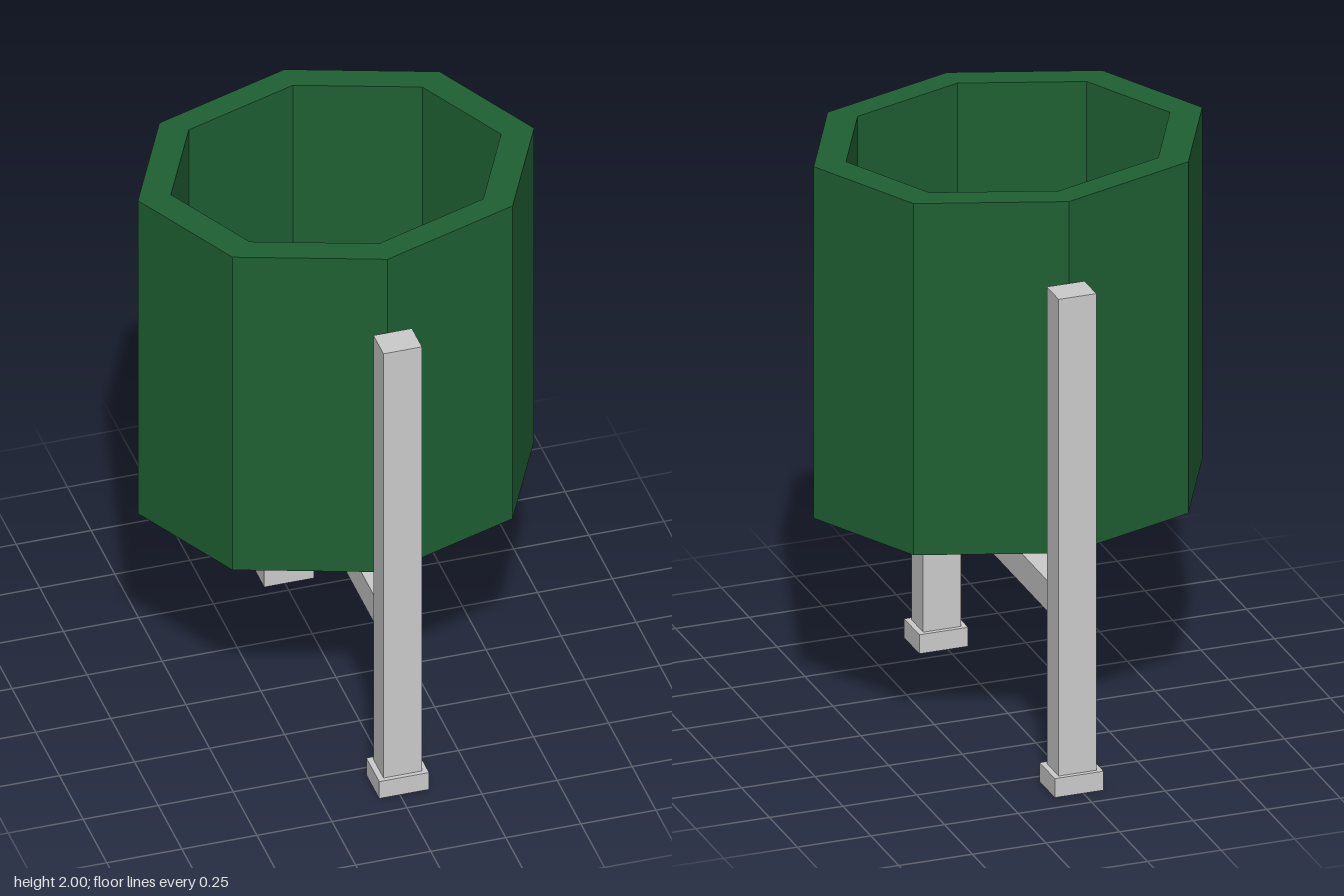
import * as THREE from 'three';

export function createModel() {
  const model = new THREE.Group();
  const green = new THREE.MeshStandardMaterial({ color: 0x1f6033, flatShading: true });
  const grey = new THREE.MeshStandardMaterial({ color: 0xcccccc, flatShading: true });

  // Eight-sided hollow pot, narrower from front to back
  const rim = 2, base = 0.78, floor = 0.88;
  const profile = [[0, base], [0.66, base], [0.66, rim], [0.55, rim], [0.55, floor], [0, floor]]
    .map(([r, y]) => new THREE.Vector2(r, y));
  const pot = new THREE.Mesh(new THREE.LatheGeometry(profile, 8), green);
  pot.name = 'pot';
  pot.scale.z = 0.826;
  model.add(pot);

  // Stand, set slightly to one side of the pot's centre
  const stand = new THREE.Group();
  stand.name = 'stand';
  stand.position.x = 0.014;
  model.add(stand);

  const addBox = (name, width, height, depth, bottom, z) => {
    const mesh = new THREE.Mesh(new THREE.BoxGeometry(width, height, depth), grey);
    mesh.name = name;
    mesh.position.set(0, bottom + height / 2, z);
    stand.add(mesh);
  };

  for (const [side, sign] of [['front', 1], ['back', -1]]) {
    addBox(side + 'Leg', 0.128, 1.66, 0.106, 0.06, sign * 0.607);
    addBox(side + 'Foot', 0.166, 0.066, 0.136, 0, sign * 0.607);
  }
  addBox('crossBar', 0.115, 0.106, 1.12, 0.588, 0);

  return model;
}
